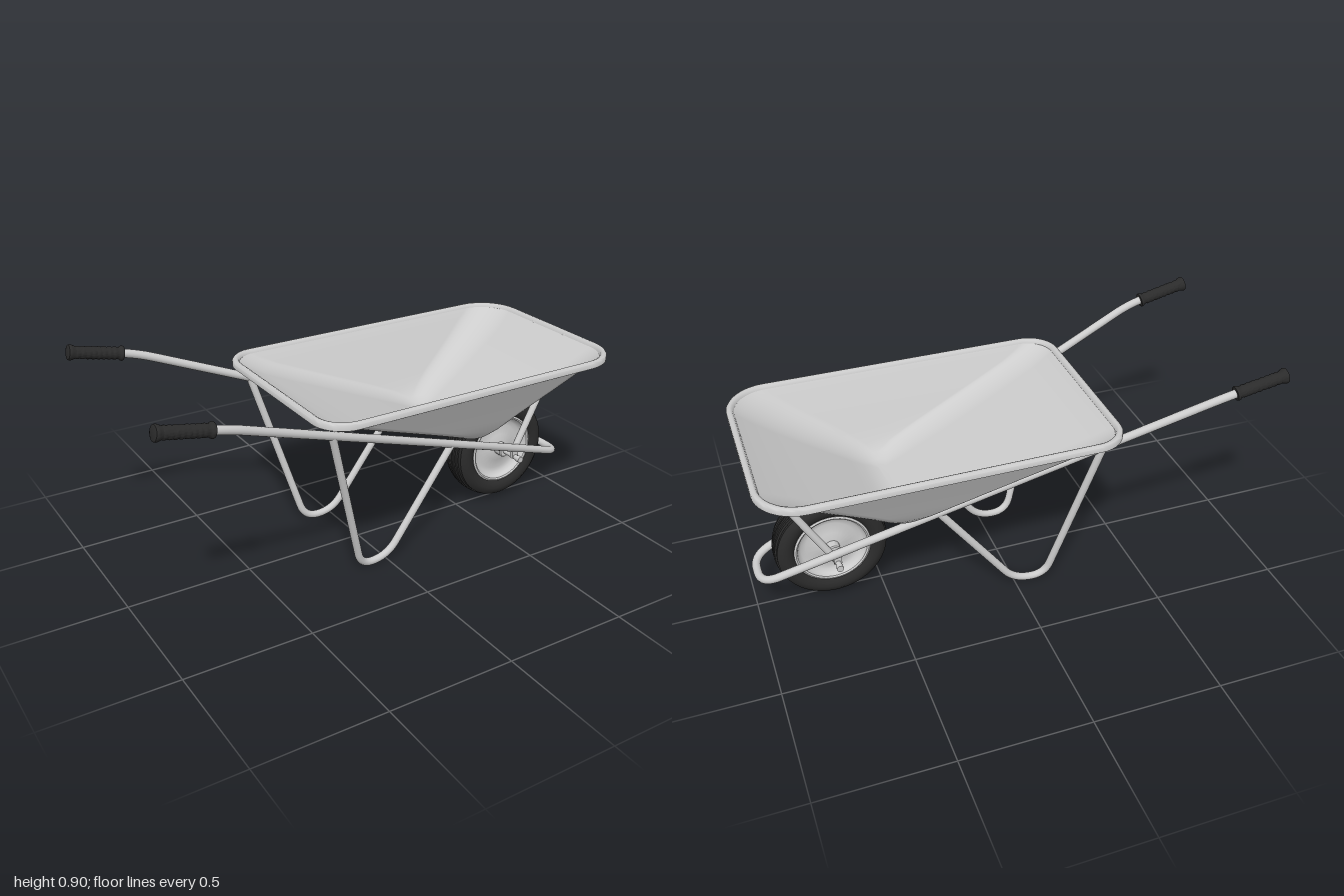
import * as THREE from 'three';
import { toCreasedNormals } from 'three/addons/utils/BufferGeometryUtils.js';

const V = (x, y, z) => new THREE.Vector3(x, y, z);
const grey = new THREE.MeshStandardMaterial({ color: 0xcccccc });
const greyThin = new THREE.MeshStandardMaterial({ color: 0xcccccc, side: THREE.DoubleSide });
const rubber = new THREE.MeshStandardMaterial({ color: 0x2b2b2b });

function add(parent, name, geometry, material = grey) {
  const mesh = new THREE.Mesh(geometry, material);
  mesh.name = name;
  parent.add(mesh);
  return mesh;
}

// Bent pipe: straight runs joined by rounded corners of the given lengths
function pipe(points, bends, radius, segments) {
  const path = new THREE.CurvePath();
  let from = points[0];
  for (let i = 1; i < points.length - 1; i++) {
    const p = points[i], d = bends[i - 1];
    const a = p.clone().add(points[i - 1].clone().sub(p).setLength(d));
    const b = p.clone().add(points[i + 1].clone().sub(p).setLength(d));
    path.add(new THREE.LineCurve3(from, a));
    path.add(new THREE.QuadraticBezierCurve3(a, p, b));
    from = b;
  }
  path.add(new THREE.LineCurve3(from, points[points.length - 1]));
  return new THREE.TubeGeometry(path, segments, radius, 14);
}

// Straight rod between two points
function rod(a, b, radius) {
  const dir = b.clone().sub(a);
  const g = new THREE.CylinderGeometry(radius, radius, dir.length(), 16);
  g.applyQuaternion(new THREE.Quaternion().setFromUnitVectors(V(0, 1, 0), dir.clone().normalize()));
  return g.translate((a.x + b.x) / 2, (a.y + b.y) / 2, (a.z + b.z) / 2);
}

// Revolved part around the z axis
function turned(profile, sides = 64) {
  return new THREE.LatheGeometry(profile.map(([r, z]) => new THREE.Vector2(r, z)), sides).rotateX(Math.PI / 2);
}

// Rounded rectangle ring: height, rear x, front x, half width, rear radius, front radius
const STEPS = 10;
function ring([y, xb, xf, w, rb, rf]) {
  const corners = [[xf - rf, w - rf, rf], [xb + rb, w - rb, rb], [xb + rb, rb - w, rb], [xf - rf, rf - w, rf]];
  const out = [];
  corners.forEach(([cx, cz, r], k) => {
    for (let i = 0; i <= STEPS; i++) {
      const a = (k + i / STEPS) * Math.PI / 2;
      out.push(cx + r * Math.cos(a), y, cz + r * Math.sin(a));
    }
  });
  return out;
}

// Skin through a list of rings, optionally closed by a centre point
function loft(rings, centre) {
  const n = 4 * (STEPS + 1), pos = rings.flatMap(ring), index = [];
  for (let k = 0; k < rings.length - 1; k++) {
    for (let i = 0; i < n; i++) {
      const j = (i + 1) % n, a = k * n + i, b = k * n + j;
      index.push(a, b, a + n, b, b + n, a + n);
    }
  }
  if (centre) {
    const base = (rings.length - 1) * n;
    pos.push(...centre);
    for (let i = 0; i < n; i++) index.push(base + i, base + (i + 1) % n, rings.length * n);
  }
  const g = new THREE.BufferGeometry();
  g.setAttribute('position', new THREE.Float32BufferAttribute(pos, 3));
  g.setIndex(index);
  g.computeVertexNormals();
  return g;
}

function makeTub() {
  const tub = new THREE.Group();
  tub.name = 'tub';
  add(tub, 'tubShell', loft([
    [0.705, -0.348, 0.953, 0.400, 0.10, 0.14],
    [0.685, -0.315, 0.925, 0.388, 0.10, 0.14],
    [0.655, -0.255, 0.880, 0.373, 0.10, 0.14],
    [0.60, -0.115, 0.795, 0.345, 0.10, 0.13],
    [0.55, 0.015, 0.712, 0.320, 0.10, 0.12],
    [0.50, 0.145, 0.630, 0.296, 0.10, 0.11],
    [0.45, 0.275, 0.550, 0.270, 0.09, 0.09],
    [0.42, 0.345, 0.500, 0.243, 0.07, 0.07],
    [0.405, 0.385, 0.465, 0.212, 0.038, 0.038],
    [0.40, 0.41, 0.44, 0.175, 0.014, 0.014],
  ], [0.425, 0.40, 0]), greyThin);
  // Rolled lip around the opening
  const lip = loft([
    [0.705, -0.348, 0.953, 0.400, 0.10, 0.14],
    [0.717, -0.353, 0.958, 0.404, 0.105, 0.145],
    [0.721, -0.361, 0.966, 0.411, 0.11, 0.15],
    [0.719, -0.371, 0.976, 0.421, 0.12, 0.16],
    [0.713, -0.376, 0.981, 0.425, 0.124, 0.164],
    [0.693, -0.376, 0.981, 0.425, 0.124, 0.164],
    [0.690, -0.370, 0.976, 0.420, 0.12, 0.16],
    [0.694, -0.340, 0.945, 0.394, 0.10, 0.14],
  ]);
  add(tub, 'tubRim', toCreasedNormals(lip, 0.9), greyThin);
  return tub;
}

function makeWheel() {
  const wheel = new THREE.Group();
  wheel.name = 'wheel';
  // Tyre with grooves running round the tread
  const half = [[0.142, 0.040], [0.150, 0.055], [0.165, 0.064], [0.182, 0.067], [0.196, 0.064], [0.207, 0.056]];
  const tread = [];
  for (const z of [-0.045, -0.027, -0.009, 0.009, 0.027, 0.045]) {
    const r = 0.2225 - 4.5 * z * z;
    tread.push([r, z - 0.006], [r, z + 0.006]);
    if (z < 0.04) tread.push([r - 0.005, z + 0.008], [r - 0.005, z + 0.010]);
  }
  const profile = [...half.map(([r, z]) => [r, -z]), ...tread, ...half.slice().reverse()];
  add(wheel, 'tyre', toCreasedNormals(turned(profile, 72), 0.6), rubber);

  for (const s of [1, -1]) {
    // Dished wheel disc with a raised edge, then its hub
    const disc = turned([[0.150, 0.036], [0.150, 0.056], [0.143, 0.060], [0.137, 0.056], [0.132, 0.040],
      [0.120, 0.030], [0.100, 0.027], [0.060, 0.036], [0.035, 0.044], [0, 0.044]]);
    const hub = turned([[0.028, 0.03], [0.028, 0.078], [0.024, 0.083], [0, 0.083]], 32);
    for (const [name, g] of [['wheelDisc', disc], ['hub', hub]]) {
      const mesh = add(wheel, name, toCreasedNormals(g, 0.6), greyThin);
      if (s < 0) mesh.rotation.y = Math.PI;
    }
  }
  wheel.position.set(0.69, 0.225, 0);
  return wheel;
}

function makeGrip(s) {
  // Ribbed sleeve with a collar at each end
  const L = 0.211;
  const pts = [[0.017, 0], [0.027, 0.001], [0.029, 0.006], [0.027, 0.012], [0.023, 0.016]];
  for (let i = 0; i < 8; i++) {
    const y = 0.026 + i * 0.02;
    pts.push([0.0225, y], [0.0245, y + 0.005], [0.0245, y + 0.011], [0.0225, y + 0.016]);
  }
  pts.push([0.028, L - 0.016], [0.030, L - 0.009], [0.028, L - 0.002], [0.022, L], [0, L]);
  const g = new THREE.LatheGeometry(pts.map(([r, y]) => new THREE.Vector2(r, y)), 28);
  const dir = V(-0.21, 0.043, s * 0.007).normalize();
  g.applyQuaternion(new THREE.Quaternion().setFromUnitVectors(V(0, 1, 0), dir));
  g.translate(-0.788, 0.813, s * 0.401);
  return toCreasedNormals(g, 0.8);
}

export function createModel() {
  const model = new THREE.Group();
  model.name = 'wheelbarrow';
  model.add(makeTub(), makeWheel());

  // One pipe from grip to grip, passing round the front of the wheel
  const side = s => [V(-0.98, 0.852, s * 0.407), V(-0.74, 0.803, s * 0.40), V(0.98, 0.155, s * 0.088)];
  add(model, 'handleFrame', pipe([...side(1), ...side(-1).reverse()], [0.07, 0.075, 0.075, 0.07], 0.0165, 260));

  add(model, 'axle', rod(V(0.69, 0.225, -0.18), V(0.69, 0.225, 0.18), 0.011));

  for (const s of [1, -1]) {
    add(model, 'grip', makeGrip(s), rubber);
    // Bent leg from the rear of the frame to its middle
    add(model, 'leg', pipe([
      V(-0.307, 0.645, s * 0.322), V(-0.125, -0.005, s * 0.224),
      V(0.005, 0.002, s * 0.217), V(0.305, 0.408, s * 0.21),
    ], [0.064, 0.064], 0.0155, 90));
    // Strut from the axle to the front rim
    add(model, 'frontStrut', rod(V(0.692, 0.222, s * 0.122), V(0.967, 0.705, s * 0.098), 0.0145));
    add(model, 'axleNut', rod(V(0.69, 0.225, s * 0.165), V(0.69, 0.225, s * 0.185), 0.0135));
    // Bracket holding the axle under the frame
    const bracket = add(model, 'axleBracket', new THREE.BoxGeometry(0.03, 0.035, 0.016));
    bracket.position.set(0.69, 0.238, s * 0.141);
  }
  return model;
}
